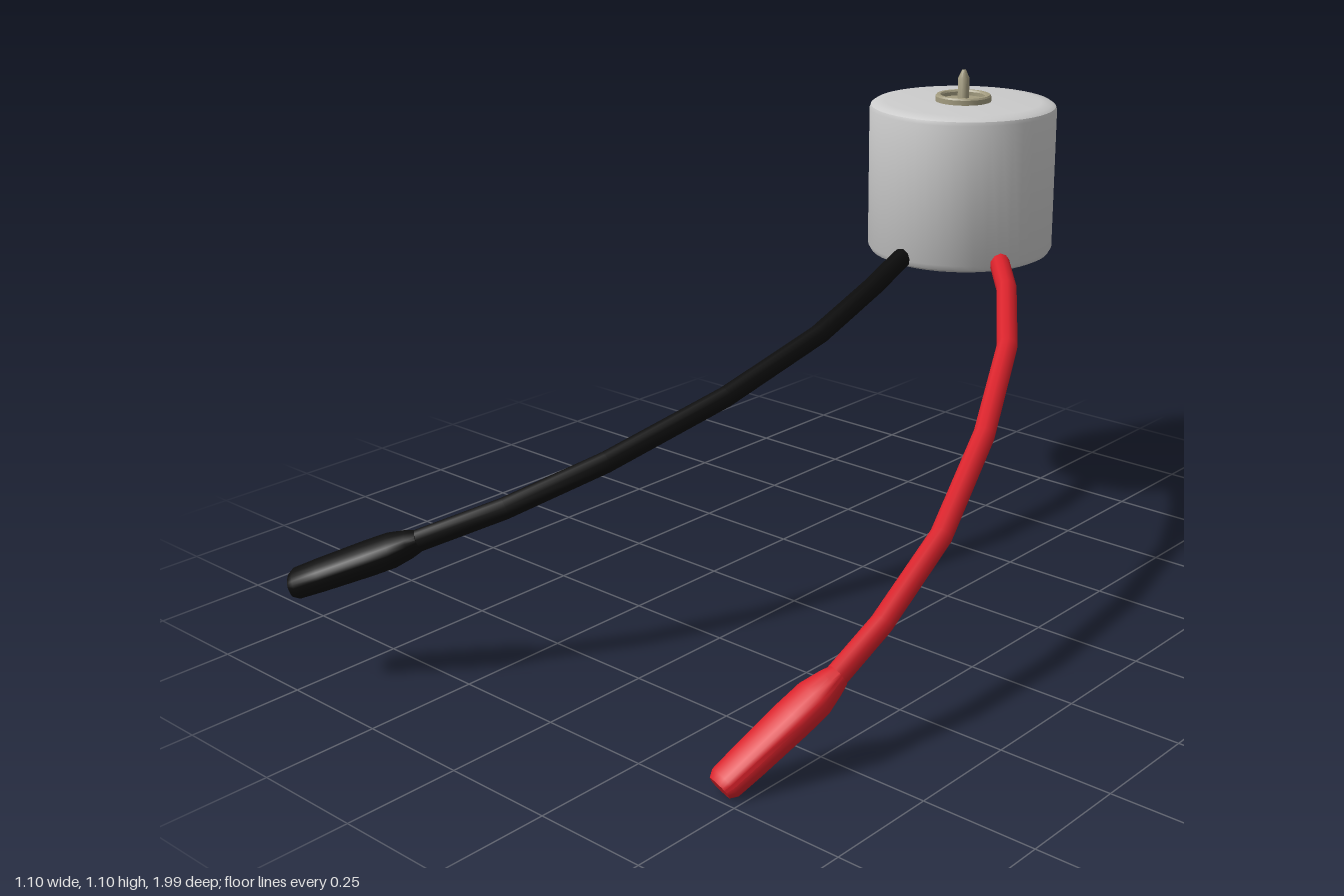
import * as THREE from 'three';
import { toCreasedNormals } from 'three/addons/utils/BufferGeometryUtils.js';

const V = (a) => new THREE.Vector3(...a);
const paint = (color) => new THREE.MeshStandardMaterial({ color });

function addMesh(parent, name, geometry, material) {
  const mesh = new THREE.Mesh(geometry, material);
  mesh.name = name;
  parent.add(mesh);
  return mesh;
}

// Sweeps an oval section along a polyline with mitred joints.
// sizes[i] = [half width, half thickness]; up is the thin direction;
// power below 1 squares the section off.
function sweep(points, sizes, up, sides, power) {
  const pos = [], index = [];
  const pow = (v) => Math.sign(v) * Math.abs(v) ** power;
  const n = points.length;
  points.forEach((p, i) => {
    const before = p.clone().sub(points[Math.max(i - 1, 0)]).normalize();
    const after = points[Math.min(i + 1, n - 1)].clone().sub(p).normalize();
    const dir = before.add(after).normalize();
    const wide = new THREE.Vector3().crossVectors(up, dir).normalize();
    const thin = new THREE.Vector3().crossVectors(dir, wide);
    for (let s = 0; s < sides; s++) {
      const a = (s / sides) * Math.PI * 2;
      const v = p.clone()
        .addScaledVector(wide, sizes[i][0] * pow(Math.cos(a)))
        .addScaledVector(thin, sizes[i][1] * pow(Math.sin(a)));
      pos.push(v.x, v.y, v.z);
    }
  });
  for (let i = 0; i < n - 1; i++) {
    for (let s = 0; s < sides; s++) {
      const a = i * sides + s, b = i * sides + (s + 1) % sides;
      index.push(a, b, b + sides, a, b + sides, a + sides);
    }
  }
  // End caps
  const first = pos.length / 3, last = first + 1, ring = (n - 1) * sides;
  pos.push(...points[0].toArray(), ...points[n - 1].toArray());
  for (let s = 0; s < sides; s++) {
    const t = (s + 1) % sides;
    index.push(first, t, s, last, ring + s, ring + t);
  }
  const g = new THREE.BufferGeometry();
  g.setAttribute('position', new THREE.Float32BufferAttribute(pos, 3));
  g.setIndex(index);
  return toCreasedNormals(g, 0.7);
}

// Wire with a flattened plug at its free end
function makeLead(name, path, tip, up, material) {
  const lead = new THREE.Group();
  lead.name = name;
  const points = path.map(V);
  addMesh(lead, name + 'Wire', sweep(points, points.map(() => [0.024, 0.024]), V(up), 10, 1), material);

  const start = points[points.length - 1], end = V(tip);
  const plug = [
    [-0.06, 0.022, 0.022], [0.02, 0.03, 0.027], [0.16, 0.042, 0.031], [0.35, 0.043, 0.031],
    [0.75, 0.04, 0.029], [0.95, 0.037, 0.027], [1, 0.029, 0.019],
  ];
  addMesh(lead, name + 'Plug', sweep(
    plug.map(([t]) => start.clone().lerp(end, t)),
    plug.map(([, w, h]) => [w, h]), V(up), 20, 0.75), material);
  return lead;
}

export function createModel() {
  const model = new THREE.Group();
  model.name = 'motor';

  const motor = new THREE.Group();
  motor.name = 'motorUnit';
  motor.position.set(-0.12, 0, -0.77);
  model.add(motor);

  const lathe = (profile, sides, crease = 0.6) => toCreasedNormals(
    new THREE.LatheGeometry(profile.map((p) => new THREE.Vector2(...p)), sides), crease);

  // Can with softened rims
  addMesh(motor, 'can', lathe([
    [0, 0.655], [0.17, 0.656], [0.205, 0.661], [0.221, 0.669], [0.228, 0.682],
    [0.228, 1.02], [0.225, 1.029], [0.216, 1.035], [0.19, 1.038], [0, 1.038],
  ], 48), paint(0xcccccc));

  // Raised bearing ring around a shallow recess
  const brass = paint(0xa39c80);
  addMesh(motor, 'bearing', lathe([
    [0.068, 1.03], [0.068, 1.05], [0.065, 1.054], [0.056, 1.054], [0.053, 1.05],
    [0.053, 1.041], [0, 1.041],
  ], 32), brass);

  // Shaft with a pointed tip
  addMesh(motor, 'shaft', lathe([
    [0.014, 1.03], [0.014, 1.093], [0.005, 1.113], [0, 1.113],
  ], 16), brass);

  // Leads
  model.add(makeLead('redLead', [
    [0.075, 0.687, -0.665], [0.16, 0.657, -0.575], [0.287, 0.585, -0.4], [0.41, 0.475, -0.145],
    [0.497, 0.352, 0.12], [0.527, 0.25, 0.35], [0.522, 0.18, 0.495],
  ], [0.45, 0.028, 0.735], [0, 1, 0.44], paint(0xd8212a)));
  model.add(makeLead('blackLead', [
    [-0.127, 0.687, -0.545], [-0.09, 0.657, -0.39], [-0.071, 0.595, -0.17], [-0.095, 0.515, 0.12],
    [-0.163, 0.433, 0.42], [-0.25, 0.37, 0.63], [-0.355, 0.316, 0.795],
  ], [-0.53, 0.231, 0.972], [0, 1, 0.28], paint(0x0c0c0c)));

  return model;
}
